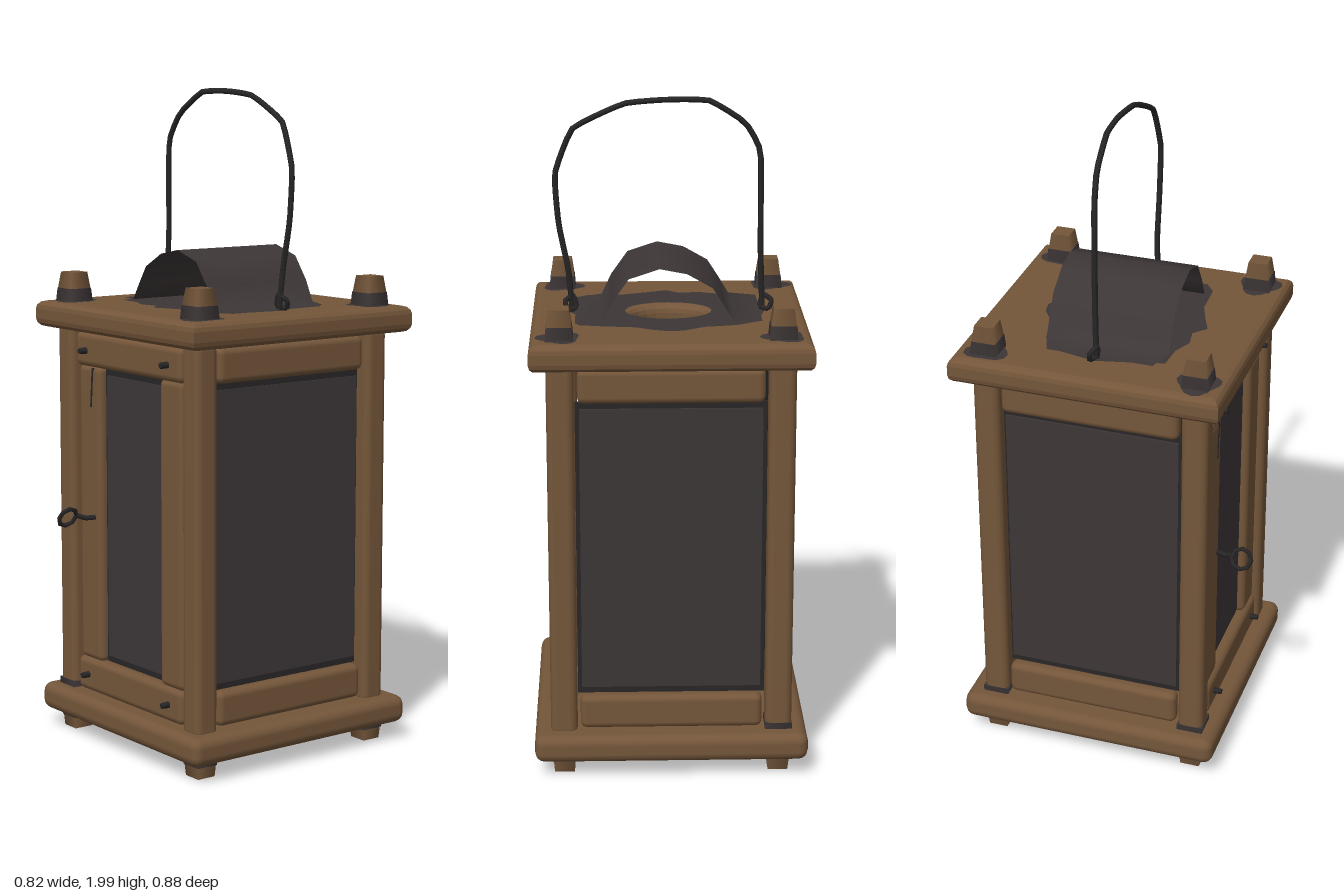
import * as THREE from 'three';
import { RoundedBoxGeometry } from 'three/addons/geometries/RoundedBoxGeometry.js';

const CZ = -0.03; // centre of the lantern body in z

export function createModel() {
  const root = new THREE.Group();
  root.name = 'lantern';
  const mat = (name, color, side = THREE.FrontSide) => {
    const m = new THREE.MeshStandardMaterial({ color, side });
    m.name = name;
    return m;
  };
  const wood = mat('wood', 0x74563a);
  const iron = mat('dark iron', 0x3d3637, THREE.DoubleSide);
  const glass = mat('smoky glass', 0x3d3637);
  const wire = mat('black wire', 0x282627, THREE.DoubleSide);

  const add = (name, geo, material, x = 0, y = 0, z = 0, parent = root) => {
    const m = new THREE.Mesh(geo, material);
    m.name = name;
    m.position.set(x, y, z);
    parent.add(m);
    return m;
  };
  const plank = (w, h, d, r = 0.02) => new RoundedBoxGeometry(w, h, d, 2, Math.min(r, w / 2.1, h / 2.1, d / 2.1));
  const points = (list) => list.map((p) => new THREE.Vector3(...p));
  const bentWire = (list, r, closed = false) =>
    new THREE.TubeGeometry(new THREE.CatmullRomCurve3(points(list), closed, 'catmullrom', 0.2), list.length * 4, r, 5, closed);
  const ventHole = () => new THREE.Path().absellipse(0, 0, 0.13, 0.1, 0, Math.PI * 2, true);

  // Base and roof boards
  add('baseBoard', plank(0.82, 0.085, 0.815, 0.03), wood, 0, 0.1, CZ);
  const e = 0.385;
  const roof = new THREE.Shape([[-e, -e], [e, -e], [e, e], [-e, e]].map((p) => new THREE.Vector2(...p)));
  roof.holes.push(ventHole());
  const roofGeo = new THREE.ExtrudeGeometry(roof, { depth: 0.03, bevelSize: 0.024, bevelThickness: 0.025, bevelSegments: 3, curveSegments: 10 });
  roofGeo.rotateX(-Math.PI / 2);
  add('roofBoard', roofGeo, wood, 0, 1.297, CZ);

  // Thin soot patches on the roof
  const sootPlate = (outline, hole) => {
    const s = new THREE.Shape(outline.map(([x, z]) => new THREE.Vector2(x, -z)));
    if (hole) s.holes.push(ventHole());
    return new THREE.ShapeGeometry(s, 10).rotateX(-Math.PI / 2);
  };
  add('ventSoot', sootPlate([[-0.29, 0], [-0.26, -0.14], [-0.2, -0.18], [-0.1, -0.2], [-0.04, -0.24], [0, -0.247], [0.05, -0.23],
    [0.1, -0.2], [0.2, -0.185], [0.27, -0.17], [0.275, -0.05], [0.3, 0], [0.28, 0.12], [0.28, 0.17], [0.24, 0.2], [0.13, 0.205],
    [0.06, 0.23], [0, 0.255], [-0.04, 0.22], [-0.1, 0.23], [-0.16, 0.205], [-0.24, 0.2], [-0.26, 0.13]], true), iron, 0, 1.354, CZ);

  // Corner posts, with pegs above the roof and feet below the base
  for (const px of [-0.322, 0.322]) {
    for (const pz of [-0.344, 0.294]) {
      const corner = new THREE.Group();
      corner.name = 'cornerPost';
      corner.position.set(px, 0, pz);
      root.add(corner);
      add('post', plank(0.08, 1.16, 0.08, 0.022), wood, 0, 0.705, 0, corner);
      const peg = (name, rTop, rBottom, h, y, m) => {
        const g = new THREE.CylinderGeometry(rTop * Math.SQRT2, rBottom * Math.SQRT2, h, 4).rotateY(Math.PI / 4);
        add(name, g, m, 0, y, 0, corner);
      };
      peg('pegCollar', 0.037, 0.041, 0.045, 1.37, iron);
      peg('peg', 0.029, 0.036, 0.05, 1.417, wood);
      peg('foot', 0.035, 0.03, 0.06, 0.035, wood);
      peg('footCollar', 0.036, 0.035, 0.02, 0.05, iron);
      if (px < 0) peg('postSoot', 0.0405, 0.0405, 0.022, 0.151, iron);
      const patch = [];
      for (let i = 0; i < 18; i++) {
        const a = (i / 18) * Math.PI * 2;
        const r = 0.062 + 0.01 * Math.sin(3 * a + px * 9 + pz * 5);
        patch.push([r * Math.cos(a), r * Math.sin(a)]);
      }
      add('pegSoot', sootPlate(patch), iron, px < 0 ? -0.003 : 0, 1.354, 0, corner);
    }
  }

  // Four walls: rails and a framed pane; the front also has door stiles
  const wall = (name, x, z, turn, paneWidth) => {
    const g = new THREE.Group();
    g.name = name;
    g.position.set(x, 0, z);
    g.rotation.y = turn;
    root.add(g);
    add('topRail', plank(0.545, 0.105, 0.05), wood, 0, 1.214, -0.002, g);
    add('bottomRail', plank(0.545, 0.105, 0.05), wood, 0, 0.198, -0.002, g);
    add('paneFrame', new THREE.BoxGeometry(paneWidth + 0.025, 0.91, 0.01), wire, 0, 0.706, -0.016, g);
    add('pane', new THREE.BoxGeometry(paneWidth, 0.87, 0.01), glass, 0, 0.706, -0.01, g);
    return g;
  };
  const front = wall('frontDoor', 0, 0.305, 0, 0.28);
  wall('backWall', 0, -0.355, Math.PI, 0.535);
  wall('leftWall', 0.325, CZ, Math.PI / 2, 0.535);
  wall('rightWall', -0.325, CZ, -Math.PI / 2, 0.535);
  for (const s of [-1, 1]) {
    add('doorStile', plank(0.115, 0.92, 0.045), wood, s * 0.21, 0.706, -0.008, front);
    for (const y of [0.2, 1.212]) {
      const nail = new THREE.CylinderGeometry(0.009, 0.011, 0.03, 6).rotateX(Math.PI / 2);
      add('nail', nail, wire, s * 0.21, y, 0.033, front);
    }
  }
  add('crack', new THREE.BoxGeometry(0.007, 0.12, 0.006), wire, -0.192, 1.1, 0.013, front).rotation.z = -0.08;

  // Door pull: stem and ring
  add('pullStem', bentWire([[-0.18, 0.7, 0.31], [-0.19, 0.7, 0.35], [-0.2, 0.71, 0.375]], 0.008), wire);
  const ring = add('pullRing', new THREE.TorusGeometry(0.031, 0.007, 5, 8), wire, -0.206, 0.706, 0.403);
  ring.rotation.set(0, Math.PI / 2, 0.5, 'ZYX');
  ring.rotation.z = -0.45;

  // Arched sheet hood over the vent
  const profile = [[-0.273, 1.358], [-0.19, 1.36], [-0.16, 1.41], [-0.125, 1.465], [-0.05, 1.508], [0.03, 1.524],
    [0.12, 1.495], [0.17, 1.425], [0.2, 1.362], [0.278, 1.358]];
  const hood = new THREE.PlaneGeometry(1, 1, profile.length - 1, 4);
  const pos = hood.attributes.position;
  for (let i = 0; i < pos.count; i++) {
    const k = i % profile.length;
    const [x, y] = profile[k];
    const end = k === 0 || k === profile.length - 1;
    const half = end ? 0.162 : 0.188;
    pos.setXYZ(i, x, y, -pos.getY(i) * 2 * half - 0.028 - x * 0.03);
  }
  hood.computeVertexNormals();
  add('ventHood', hood, iron);

  // Carrying handle with twisted ends
  add('handle', bentWire([[-0.282, 1.36, -0.025], [-0.275, 1.55, -0.03], [-0.272, 1.83, -0.03], [-0.225, 1.92, -0.038],
    [-0.12, 1.986, -0.045], [0, 1.99, -0.05], [0.13, 1.978, -0.045], [0.28, 1.905, -0.036], [0.334, 1.77, -0.03],
    [0.325, 1.62, -0.03], [0.298, 1.48, -0.028], [0.288, 1.36, -0.022]], 0.009), wire);
  for (const s of [-1, 1]) {
    add('handleEnd', bentWire([[s * 0.285, 1.4, -0.02], [s * 0.31, 1.385, -0.035], [s * 0.3, 1.36, -0.04], [s * 0.275, 1.365, -0.025]], 0.008, true), wire);
  }
  return root;
}
